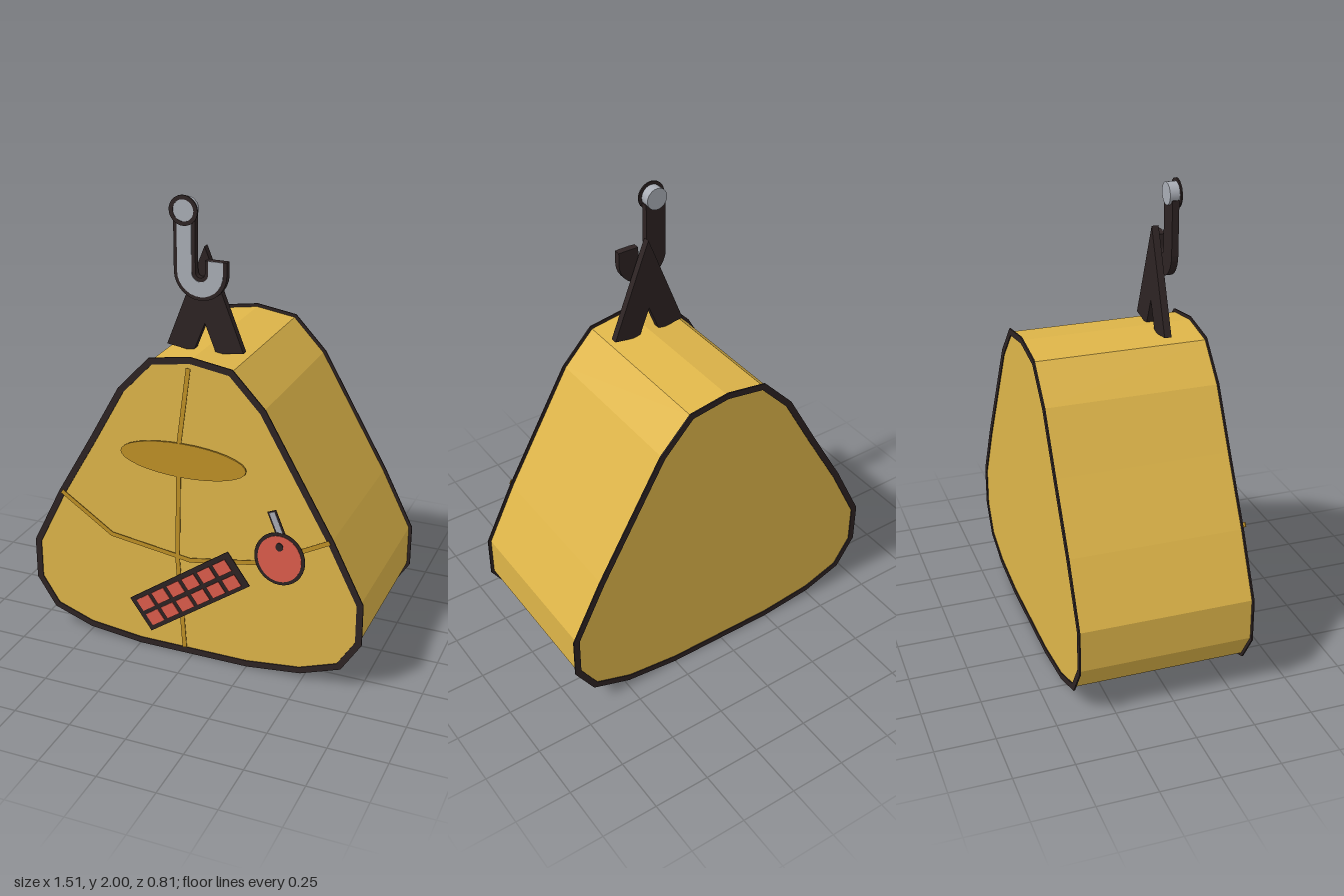
import * as THREE from 'three';

const mat = (name, color) => {
  const m = new THREE.MeshStandardMaterial({ color });
  m.name = name;
  return m;
};

const V = (p) => new THREE.Vector2(p[0], p[1]);

// Offsets a polyline sideways by d, with mitred corners
function offset(pts, d, closed) {
  const n = pts.length;
  return pts.map((p, i) => {
    const a = closed ? pts[(i + n - 1) % n] : pts[Math.max(i - 1, 0)];
    const b = closed ? pts[(i + 1) % n] : pts[Math.min(i + 1, n - 1)];
    const d1 = p.clone().sub(a).normalize(), d2 = b.clone().sub(p).normalize();
    if (d1.lengthSq() === 0) d1.copy(d2);
    if (d2.lengthSq() === 0) d2.copy(d1);
    const n1 = new THREE.Vector2(-d1.y, d1.x);
    const m = n1.clone().add(new THREE.Vector2(-d2.y, d2.x)).normalize();
    return p.clone().addScaledVector(m, d / m.dot(n1));
  });
}

// Flat band of constant width along a polyline
function ribbon(pts, width, closed = false) {
  const a = offset(pts, width / 2, closed), b = offset(pts, -width / 2, closed);
  if (!closed) return new THREE.Shape([...a, ...b.reverse()]);
  const s = new THREE.Shape(b);
  s.holes.push(new THREE.Path(a));
  return s;
}

function ellipse(rx, ry, x = 0, y = 0) {
  return new THREE.Shape().absellipse(x, y, rx, ry, 0, Math.PI * 2);
}

export function createModel() {
  const model = new THREE.Group();
  model.name = 'hookedSack';

  const cloth = mat('mustardCloth', 0xdeb549);
  const seamMat = mat('brownSeam', 0xbf9026);
  const dark = mat('darkOutline', 0x2d2323);
  const steel = mat('greySteel', 0xa9adb5);
  const red = mat('red', 0xdd5c4c);

  // Extrudes a shape from z0 to z1
  const slab = (name, shape, z0, z1, material, parent = model) => {
    const g = new THREE.ExtrudeGeometry(shape, { depth: z1 - z0, bevelEnabled: false, curveSegments: 16 });
    const mesh = new THREE.Mesh(g, material);
    mesh.name = name;
    mesh.position.z = z0;
    parent.add(mesh);
    return mesh;
  };

  // Sack body with a dark band around both end faces
  const outline = [
    [0, 1.362], [-0.175, 1.335], [-0.312, 1.19], [-0.45, 0.945], [-0.61, 0.67], [-0.741, 0.41],
    [-0.741, 0.23], [-0.66, 0.103], [-0.49, 0.042], [-0.25, 0.015], [0.25, 0.015], [0.49, 0.042],
    [0.66, 0.103], [0.741, 0.23], [0.741, 0.41], [0.61, 0.67], [0.312, 1.19], [0.175, 1.335],
  ].map(V);
  slab('body', new THREE.Shape(outline), -0.4, 0.338, cloth);
  slab('frontTrim', ribbon(outline, 0.028, true), 0.336, 0.342, dark);
  slab('backTrim', ribbon(outline, 0.028, true), -0.404, -0.398, dark);

  // Seams and oval patch
  const seams = {
    verticalSeam: [[0, 1.335], [-0.045, 1.0], [-0.058, 0.47], [-0.03, 0.04]],
    crossSeam: [[-0.6, 0.685], [-0.365, 0.525], [0, 0.473], [0.33, 0.53], [0.61, 0.68]],
  };
  for (const [name, pts] of Object.entries(seams)) {
    slab(name, ribbon(pts.map(V), 0.02), 0.357, 0.36, seamMat);
  }
  slab('ovalPatch', ellipse(0.28, 0.076, -0.03, 0.928), 0.354, 0.362, seamMat);

  // Tilted panel with two rows of six tiles
  const panel = new THREE.Group();
  panel.name = 'tilePanel';
  panel.position.set(0, 0.33, 0);
  panel.rotation.z = 0.613;
  model.add(panel);
  const rect = (w, h, x = 0, y = 0) => new THREE.Shape([
    [x - w / 2, y - h / 2], [x + w / 2, y - h / 2], [x + w / 2, y + h / 2], [x - w / 2, y + h / 2]].map(V));
  slab('panelBase', rect(0.556, 0.172), 0.375, 0.379, dark, panel);
  for (let c = 0; c < 6; c++) {
    for (let r = 0; r < 2; r++) {
      const z = 0.379 + c * 0.0025;
      slab('tile', rect(0.068, 0.057, (c - 2.5) * 0.088, (r - 0.5) * 0.075), z, z + 0.003, red, panel);
    }
  }

  // Round tag with a small bead and a steel pin
  const tag = new THREE.Group();
  tag.name = 'roundTag';
  tag.position.set(0.413, 0.587, 0);
  model.add(tag);
  slab('tagRim', ellipse(0.109, 0.119), 0.397, 0.4, dark, tag);
  slab('tagFace', ellipse(0.094, 0.104), 0.4, 0.402, red, tag);
  slab('tagBead', ellipse(0.016, 0.018, 0, 0.056), 0.402, 0.406, dark, tag);
  const pin = [[-0.038, 0.208], [0.006, 0.1]].map(V);
  slab('pinEdge', ribbon(pin, 0.04), 0.394, 0.397, dark, tag);
  slab('pin', ribbon([[-0.036, 0.203], [0.006, 0.1]].map(V), 0.024), 0.397, 0.399, steel, tag);

  // Forked strap standing on the sack
  const strap = [[0, 1.79], [-0.028, 1.72], [-0.168, 1.362], [-0.05, 1.345], [0, 1.47],
    [0.05, 1.345], [0.168, 1.362], [0.028, 1.72]].map(V);
  slab('forkedStrap', new THREE.Shape(strap), 0.16, 0.19, dark);

  // Hook: shank running into a half-circle bend
  const hook = [V([-0.067, 1.92])];
  for (let i = 0; i <= 14; i++) {
    const a = Math.PI * (1 + i / 14);
    hook.push(V([0.067 * Math.cos(a), 1.692 + 0.067 * Math.sin(a)]));
  }
  hook.push(V([0.067, 1.745]));
  slab('hookBody', ribbon(hook, 0.093), 0.205, 0.234, dark);
  slab('hookFace', ribbon(hook, 0.062), 0.234, 0.237, steel);

  // Eye at the top of the hook
  const eye = new THREE.Mesh(new THREE.CylinderGeometry(0.047, 0.047, 0.046, 24), steel);
  eye.name = 'hookEye';
  eye.rotation.x = Math.PI / 2;
  eye.position.set(-0.067, 1.94, 0.218);
  model.add(eye);
  const rim = ellipse(0.061, 0.061, -0.067, 1.939);
  rim.holes.push(new THREE.Path().absellipse(-0.067, 1.939, 0.044, 0.044, 0, Math.PI * 2));
  slab('hookEyeRim', rim, 0.237, 0.243, dark);

  return model;
}
